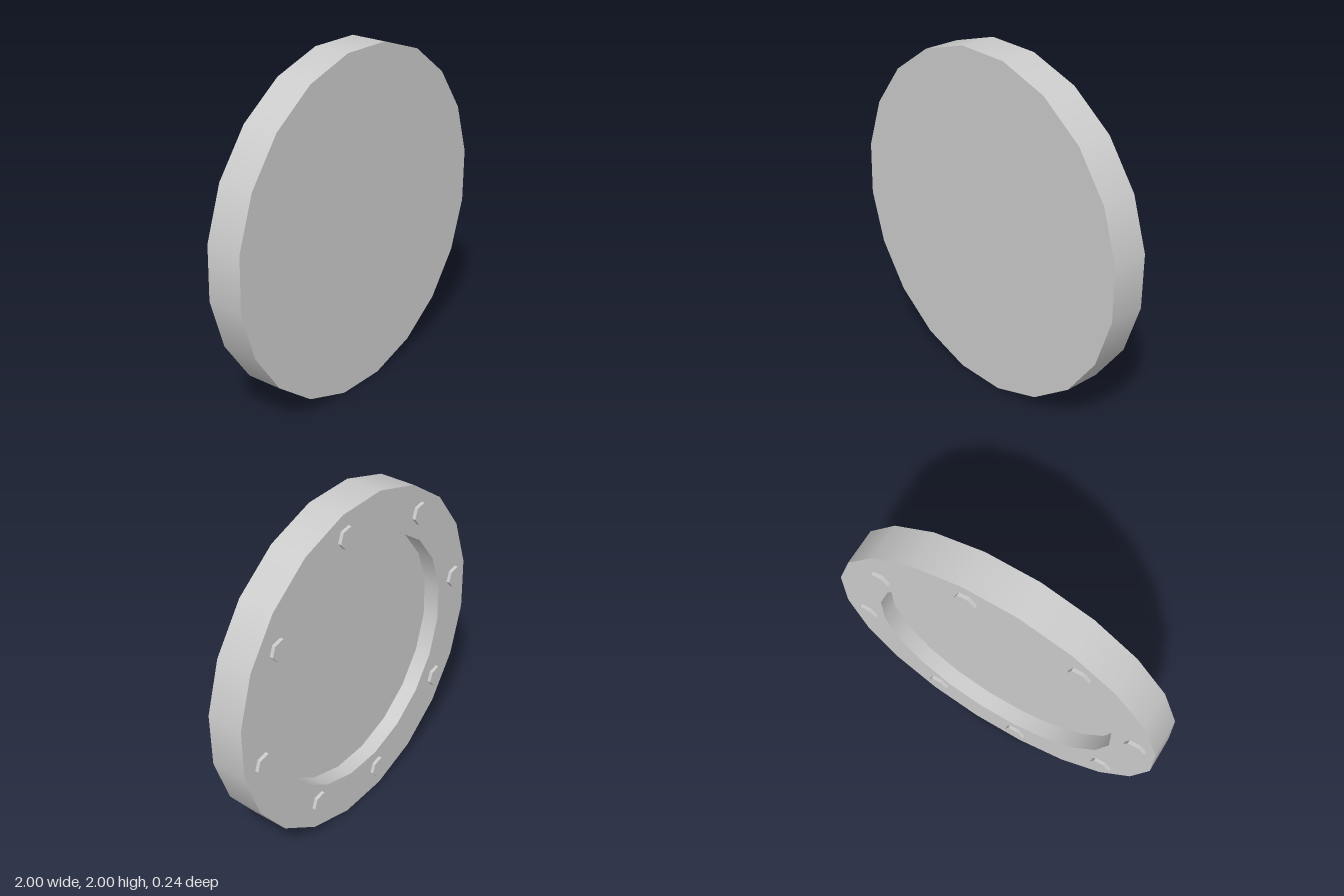
import * as THREE from 'three';
import { mergeGeometries } from 'three/addons/utils/BufferGeometryUtils.js';

const SIDES = 20;
const RADIUS = 1.01, RECESS_RADIUS = 0.745;
const FRONT = 0.118, BACK = -0.098, FLOOR = 0.0;
const TURN = THREE.MathUtils.degToRad(8);

// Turns each profile segment separately, so the rims stay sharp and the walls smooth
function turnedSolid(profile) {
  const bands = [];
  for (let i = 0; i < profile.length - 1; i++) {
    const pair = [profile[i], profile[i + 1]].map(([r, z]) => new THREE.Vector2(r, z));
    bands.push(new THREE.LatheGeometry(pair, SIDES, TURN));
  }
  return mergeGeometries(bands).rotateX(Math.PI / 2);
}

export function createModel() {
  const model = new THREE.Group();
  model.name = 'boltedCover';
  const material = new THREE.MeshStandardMaterial({ color: 0xcccccc });
  const boltMaterial = new THREE.MeshStandardMaterial({ color: 0xcccccc, flatShading: true });

  // Disc with a flat front and a round recess in the back (radius, z)
  const disc = new THREE.Mesh(turnedSolid([
    [0, FLOOR], [RECESS_RADIUS, FLOOR], [RECESS_RADIUS, BACK],
    [RADIUS, BACK], [RADIUS, FRONT], [0, FRONT],
  ]), material);
  disc.name = 'disc';
  model.add(disc);

  // Hexagonal bolt heads, set slightly unevenly around the back flange
  const boltPositions = [
    [0.153, 0.86], [-0.5, 0.715], [-0.88, 0.128], [-0.725, -0.51],
    [-0.147, -0.85], [0.4, -0.74], [0.85, -0.158], [0.7, 0.473],
  ];
  const boltGeometry = new THREE.CylinderGeometry(0.0635, 0.0635, 0.03, 6, 1, false, Math.PI / 9)
    .rotateX(Math.PI / 2);
  const bolts = new THREE.Group();
  bolts.name = 'bolts';
  for (const [x, y] of boltPositions) {
    const bolt = new THREE.Mesh(boltGeometry, boltMaterial);
    bolt.name = 'boltHead';
    bolt.position.set(x, y, BACK - 0.005);
    bolts.add(bolt);
  }
  model.add(bolts);

  model.position.y = 1;
  return model;
}
